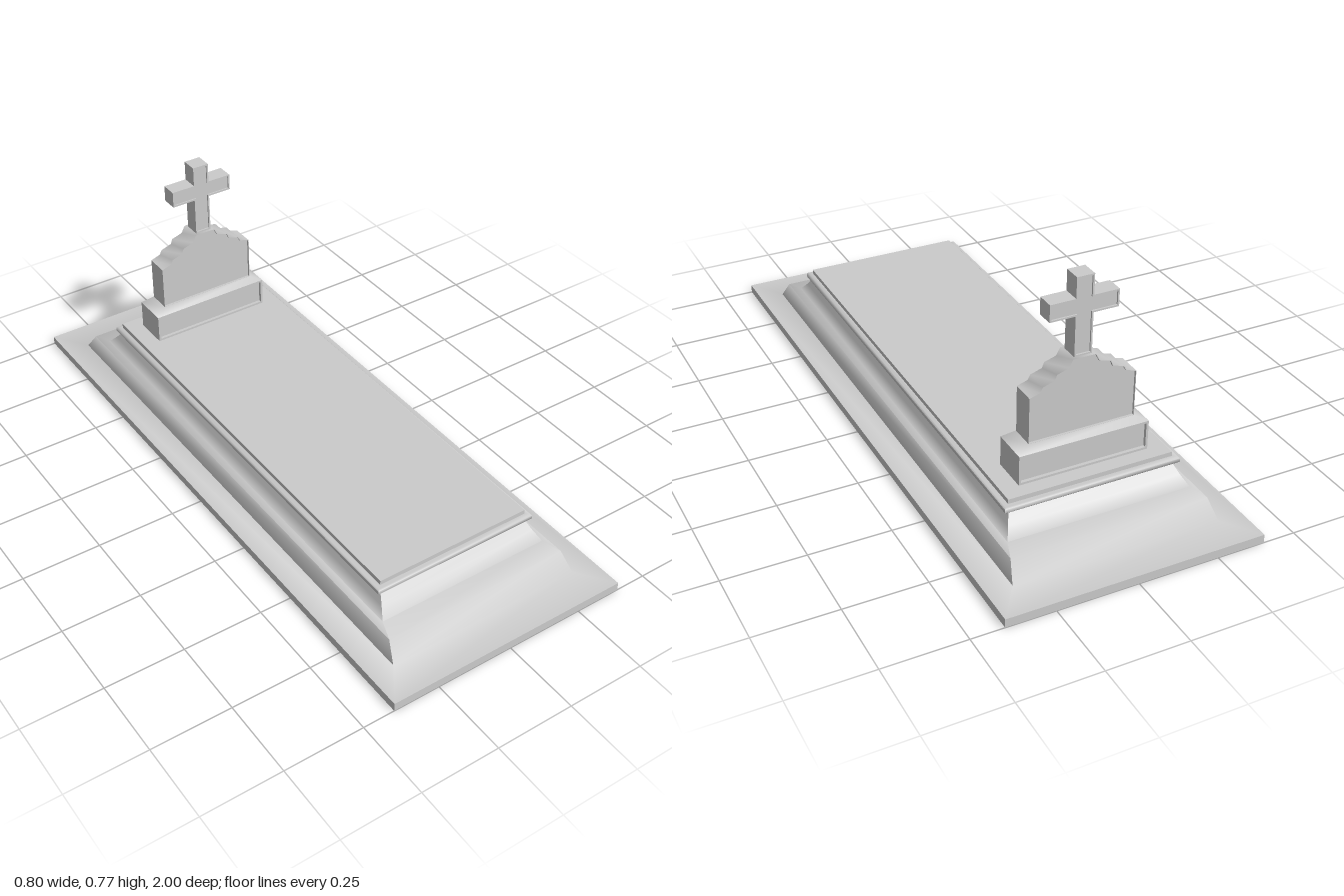
import * as THREE from 'three';
import { toCreasedNormals } from 'three/addons/utils/BufferGeometryUtils.js';

const grey = new THREE.MeshStandardMaterial({ color: 0xcccccc });
const greyDouble = new THREE.MeshStandardMaterial({ color: 0xcccccc, side: THREE.DoubleSide });
const STONE_Z = -0.635;
const CREASE = 1.1;

// Rectangular loft through rings of [halfWidth, halfDepth, y]; a last ring of zero size closes the top.
function loft(rings) {
  const corners = [[1, 1], [1, -1], [-1, -1], [-1, 1]];
  const point = (r, k) => [r[0] * corners[k % 4][0], r[2], r[1] * corners[k % 4][1]];
  const pos = [];
  for (let i = 0; i < rings.length - 1; i++) {
    const lo = rings[i], hi = rings[i + 1];
    for (let k = 0; k < 4; k++) {
      const a = point(lo, k), b = point(lo, k + 1), c = point(hi, k + 1), d = point(hi, k);
      pos.push(...a, ...b, ...c);
      if (hi[0] > 0) pos.push(...a, ...c, ...d);
    }
  }
  const geo = new THREE.BufferGeometry();
  geo.setAttribute('position', new THREE.Float32BufferAttribute(pos, 3));
  return toCreasedNormals(geo, CREASE);
}

// Mirrors a right-hand outline (bottom to top) into a full counter-clockwise one.
function mirrored(half) {
  return [...half, ...half.map(([x, y]) => [-x, y]).reverse()].map(([x, y]) => new THREE.Vector2(x, y));
}

// Moves every edge of a counter-clockwise outline inwards by d.
function inset(pts, d) {
  const n = pts.length;
  return pts.map((p, i) => {
    const u = p.clone().sub(pts[(i + n - 1) % n]).normalize();
    const v = pts[(i + 1) % n].clone().sub(p).normalize();
    const m = new THREE.Vector2(-u.y - v.y, u.x + v.x);
    return p.clone().addScaledVector(m, d / (1 + u.dot(v)));
  });
}

function extrude(shape, depth) {
  const geo = new THREE.ExtrudeGeometry(shape, { depth, bevelEnabled: false });
  return toCreasedNormals(geo.translate(0, 0, STONE_Z - depth / 2), CREASE);
}

function addMesh(parent, name, geo, mat = grey) {
  const mesh = new THREE.Mesh(geo, mat);
  mesh.name = name;
  parent.add(mesh);
}

// Upright slab with a thin raised rim around a sunken panel on front and back.
function panelled(parent, name, half, depth, rim, recess) {
  const group = new THREE.Group();
  group.name = name;
  const outline = mirrored(half), inner = inset(outline, rim);
  const frame = new THREE.Shape(outline);
  frame.holes.push(new THREE.Path(inner));
  addMesh(group, name + 'Rim', extrude(frame, depth));
  addMesh(group, name + 'Panel', extrude(new THREE.Shape(inner), depth - 2 * recess));
  parent.add(group);
}

export function createModel() {
  const model = new THREE.Group();
  model.name = 'graveMonument';

  // Hollow tomb shell: thin footing, flared skirt, moulded slab edge and top step
  addMesh(model, 'tombShell', loft([
    [0.4, 1, 0], [0.4, 1, 0.027], [0.322, 0.889, 0.027], [0.308, 0.849, 0.083],
    [0.287, 0.79, 0.089], [0.271, 0.762, 0.118], [0.257, 0.735, 0.149],
    [0.271, 0.747, 0.149], [0.275, 0.751, 0.153], [0.275, 0.751, 0.164],
    [0.271, 0.747, 0.168], [0.258, 0.735, 0.168], [0.258, 0.735, 0.182], [0, 0, 0.182],
  ]), greyDouble);

  // Headstone foot with a sloping top
  panelled(model, 'headstoneFoot', [[0.203, 0.182], [0.203, 0.275]], 0.112, 0.007, 0.01);
  const slope = loft([[0.203, 0.056, 0.275], [0.165, 0.038, 0.294], [0, 0, 0.294]]);
  addMesh(model, 'headstoneFootSlope', slope.translate(0, 0, STONE_Z));

  // Headstone with stepped shoulders
  panelled(model, 'headstone', [
    [0.165, 0.293], [0.165, 0.438], [0.133, 0.448], [0.125, 0.463], [0.09, 0.474],
    [0.083, 0.491], [0.047, 0.502], [0.035, 0.525],
  ], 0.073, 0.0015, 0.007);

  // Cross on top
  panelled(model, 'cross', [
    [0.027, 0.525], [0.027, 0.649], [0.105, 0.649], [0.105, 0.702], [0.027, 0.702], [0.027, 0.766],
  ], 0.053, 0.005, 0.005);

  return model;
}
